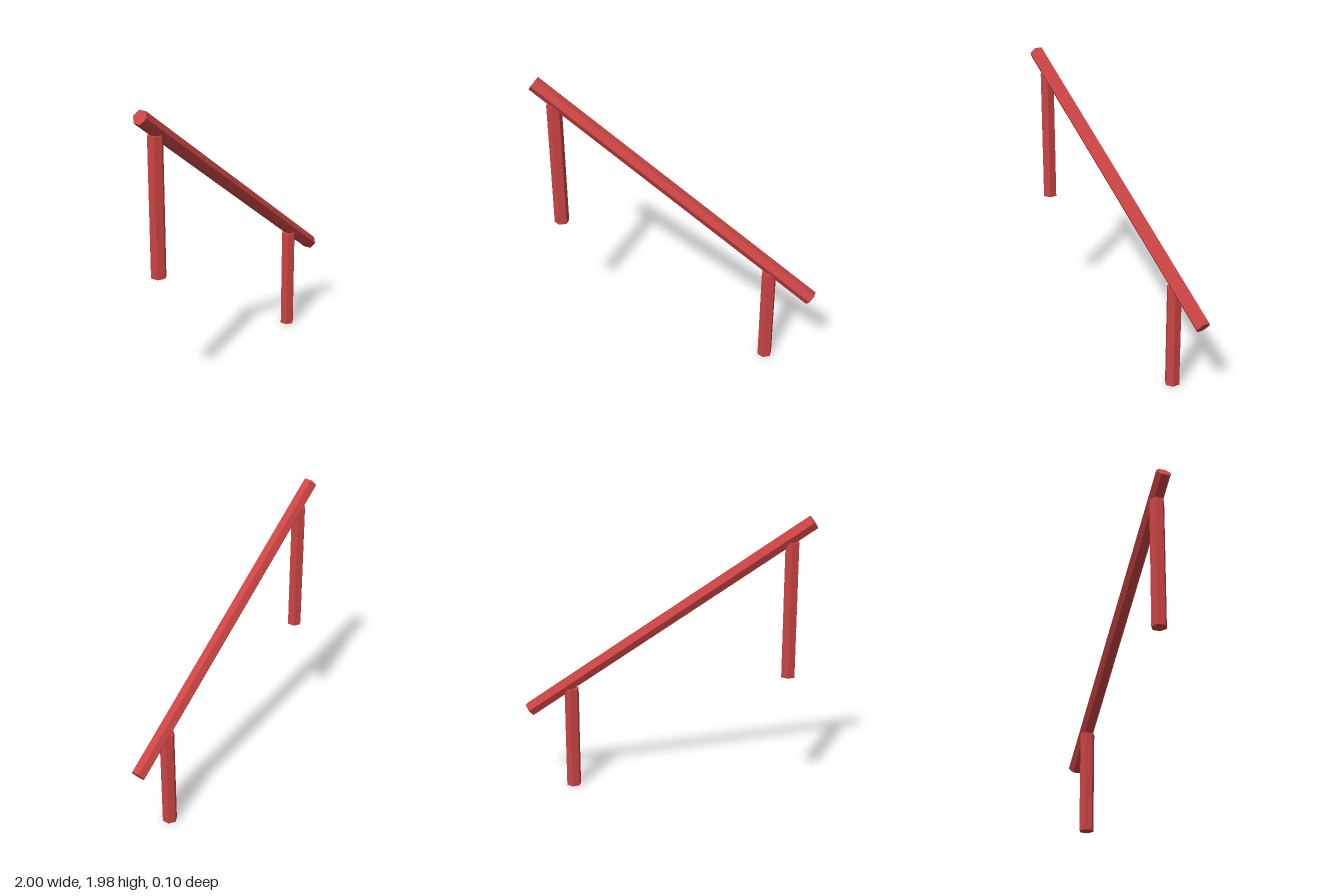
import * as THREE from 'three';

const RADIUS = 0.052;

export function createModel() {
  const group = new THREE.Group();
  const redPaint = new THREE.MeshStandardMaterial({ color: 0xcc4444, flatShading: true });
  redPaint.name = 'redPaint';

  // Six-sided bar running between two points in the z = 0 plane
  function bar(name, x0, y0, x1, y1) {
    const dx = x1 - x0, dy = y1 - y0;
    const geometry = new THREE.CylinderGeometry(RADIUS, RADIUS, Math.hypot(dx, dy), 6);
    const mesh = new THREE.Mesh(geometry, redPaint);
    mesh.name = name;
    mesh.position.set((x0 + x1) / 2, (y0 + y1) / 2, 0);
    mesh.rotation.z = Math.atan2(-dx, dy);
    group.add(mesh);
  }

  // Sloping handrail
  bar('handrail', 0.974, 0.562, -0.974, 1.948);

  // Upright posts, sunk slightly into the rail
  bar('upperPost', -0.838, 0.88, -0.838, 1.81);
  bar('lowerPost', 0.672, 0, 0.672, 0.73);

  return group;
}
